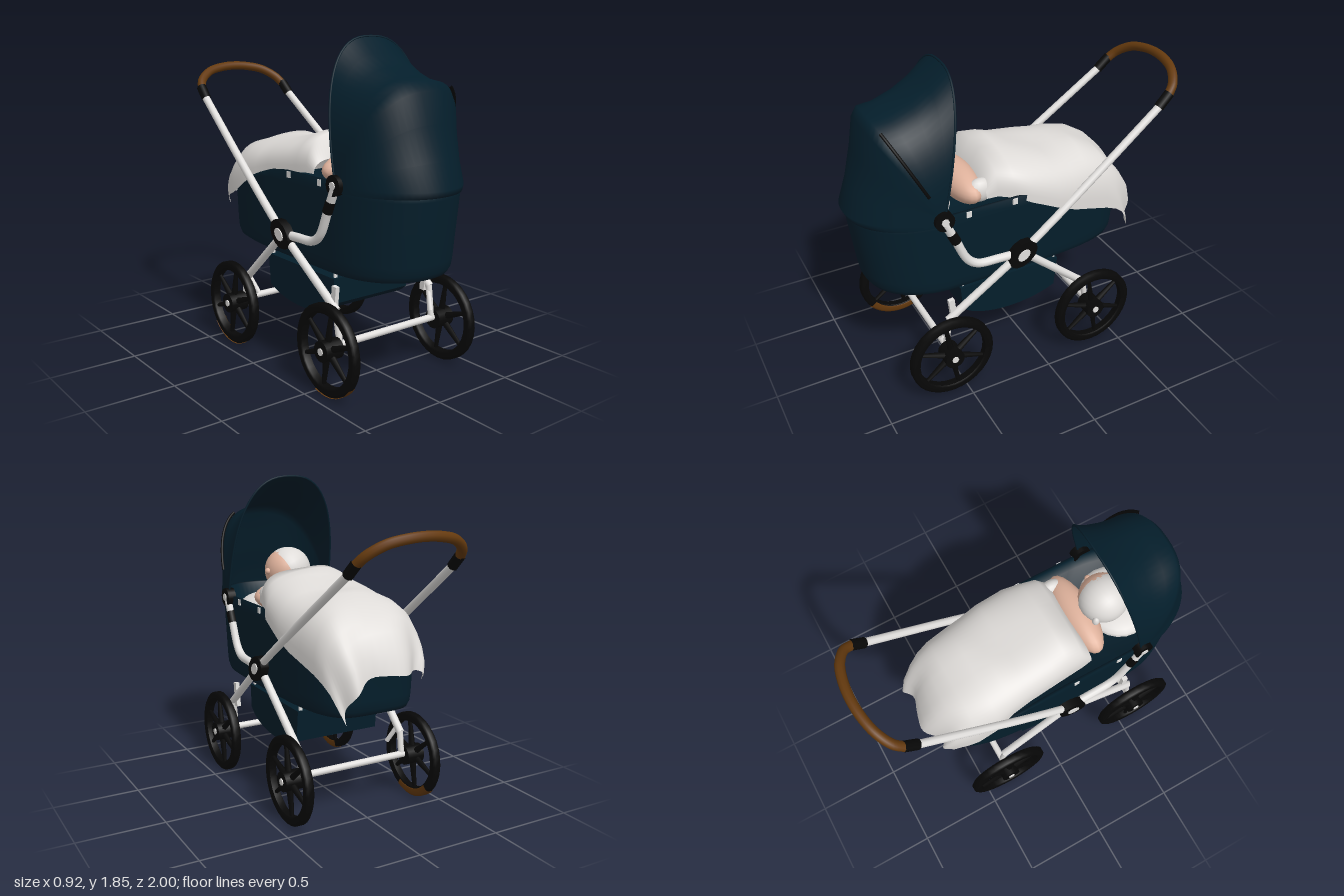
import * as THREE from 'three';

const mat = (name, color, side = THREE.FrontSide) => {
  const m = new THREE.MeshStandardMaterial({ color, side });
  m.name = name;
  return m;
};
const V = (x, y, z) => new THREE.Vector3(x, y, z);

// skin a surface over rows of points
function loft(rows, closed = false) {
  const n = rows[0].length, pos = [], idx = [];
  rows.forEach(r => r.forEach(p => pos.push(p.x, p.y, p.z)));
  for (let i = 0; i < rows.length - 1; i++)
    for (let j = 0; j < (closed ? n : n - 1); j++) {
      const a = i * n + j, b = i * n + (j + 1) % n;
      idx.push(a, a + n, b, b, a + n, b + n);
    }
  const g = new THREE.BufferGeometry();
  g.setAttribute('position', new THREE.Float32BufferAttribute(pos, 3));
  g.setIndex(idx);
  g.computeVertexNormals();
  return g;
}
const pw = (v, e) => Math.sign(v) * Math.pow(Math.abs(v), e);

export function createModel() {
  const root = new THREE.Group();
  root.name = 'pram';
  const navy = mat('navy fabric', 0x041e2b, THREE.DoubleSide);
  const black = mat('black rubber', 0x070707);
  const white = mat('white metal', 0xe2e0de);
  const cloth = mat('white cloth', 0xdedbd8, THREE.DoubleSide);
  const skin = mat('skin', 0xdfb29c);
  const brown = mat('brown leather', 0x653a0e, THREE.DoubleSide);

  const add = (name, geo, m, x = 0, y = 0, z = 0, parent = root) => {
    const o = new THREE.Mesh(geo, m);
    o.name = name;
    o.position.set(x, y, z);
    parent.add(o);
    return o;
  };
  const tube = (name, pts, r, m, seg = 24) =>
    add(name, new THREE.TubeGeometry(new THREE.CatmullRomCurve3(pts, false, 'centripetal'), seg, r, 10), m);
  // disc whose axis runs along x
  const disc = (name, r, w, m, x, y, z, parent = root, sides = 20) =>
    add(name, new THREE.CylinderGeometry(r, r, w, sides).rotateZ(Math.PI / 2), m, x, y, z, parent);

  // carrycot body: rings with a round head end and a squarer foot, and a rim that dips towards the foot
  const rimY = z => 1.125 - 0.17 * THREE.MathUtils.smoothstep(-z, -0.1, 0.6);
  const ring = (y, s, rim = false) => {
    const t = (y - 0.63) / 0.49, pts = [];
    const f = 0.92 + 0.06 * t, b = -0.61 - 0.025 * t, w = 0.33 + 0.01 * t, mid = 0.5;
    for (let j = 0; j < 64; j++) {
      const a = j / 64 * Math.PI * 2, c = Math.cos(a), e = c > 0 ? 0.9 : 0.45;
      const z = mid + (c > 0 ? f - mid : mid - b) * pw(c, e) * s + (1 - s) * -0.34;
      pts.push(V(w * s * pw(Math.sin(a), e), rim ? rimY(z) : Math.min(y, rimY(z) - 0.02), z));
    }
    return pts;
  };
  add('carrycot', loft([ring(0.63, 0.001), ring(0.63, 0.94), ring(0.64, 0.975), ring(0.67, 0.995), ring(0.72, 1),
    ring(0.9, 1), ring(1.06, 1), ring(1.12, 1, true), ring(1.12, 0.95, true), ring(1.0, 0.94), ring(0.98, 0.001)], true), navy);

  // hood: arches fanned around the two side pivots, rounder towards the bottom [z, y, roundness]
  const arch = ([z, y, e], s0 = 0, s1 = Math.PI, n = 32, grow = 0) => {
    const by = Math.min(1.12, y), pts = [];
    for (let j = 0; j <= n; j++) {
      const a = s0 + (s1 - s0) * j / n, h = pw(Math.sin(a), e);
      pts.push(V((0.347 + grow) * pw(Math.cos(a), e), by + (y - by) * h, 0.56 + (z - 0.56) * h));
    }
    return pts;
  };
  const ribs = [[0.41, 1.845, 0.77], [0.51, 1.76, 0.77], [0.62, 1.695, 0.77], [0.74, 1.65, 0.77], [0.83, 1.64, 0.77],
    [0.865, 1.59, 0.8], [0.9, 1.43, 0.88], [0.95, 1.25, 0.95], [1, 1.115, 0.98], [0.985, 1.08, 0.96], [0.965, 1.08, 0.96]];
  add('hood', loft(ribs.map(r => arch(r))), navy);
  tube('hoodEdge', arch(ribs[0]), 0.006, navy, 48);
  tube('hoodZip', arch([0.836, 1.65, 0.77], 0.2, 1.1, 12, 0.004), 0.009, black);

  // blanket: arched sections draped over the foot of the cot, tucked in on the right
  // [z, top, left hem, left half width, right hem, right half width]
  const folds = [[0.28, 1.2, 1.12, 0.27, 1.12, 0.27], [0.22, 1.325, 1.13, 0.29, 1.12, 0.28],
    [0.13, 1.32, 1.11, 0.32, 1.11, 0.285], [0.04, 1.3, 1.07, 0.35, 1.1, 0.29], [-0.13, 1.26, 0.99, 0.36, 1.08, 0.3],
    [-0.24, 1.25, 0.94, 0.348, 1.05, 0.31], [-0.34, 1.25, 0.91, 0.338, 0.98, 0.33], [-0.47, 1.21, 0.87, 0.325, 0.9, 0.32],
    [-0.55, 1.15, 0.85, 0.315, 0.86, 0.305], [-0.61, 1.08, 0.82, 0.3, 0.83, 0.29], [-0.67, 0.98, 0.75, 0.275, 0.77, 0.27],
    [-0.7, 0.87, 0.7, 0.25, 0.72, 0.25]];
  add('blanket', loft(folds.map(([z, top, hemL, wL, hemR, wR], i) => {
    const pts = [], back = Math.max(0, i - 7) / 4;
    for (let j = 0; j <= 32; j++) {
      const a = j / 32 * Math.PI, c = Math.cos(a), s = Math.sin(a);
      const x = (c > 0 ? wL : wR) * pw(c, 0.72), hem = THREE.MathUtils.lerp(hemR, hemL, (c + 1) / 2);
      const y = hem + (top - hem) * pw(s, 0.72) + s * 0.009 * Math.sin(11 * x + 17 * z)
        + back * (c > 0 ? -0.06 : 0.07) * c * c;
      pts.push(V(x, y, z + back * (0.025 * Math.sin(j * 0.6) + (c > 0 ? 0.02 : 0.07) * c * c)));
    }
    return pts;
  })), cloth);

  // baby: head turned to its left, with cap, ear, shoulders and sleeve
  add('pillow', new THREE.SphereGeometry(1, 24, 12), cloth, 0, 1.05, 0.6).scale.set(0.23, 0.07, 0.2);
  add('head', new THREE.SphereGeometry(0.13, 24, 16), skin, -0.01, 1.265, 0.49).scale.set(1, 1.05, 1.05);
  const cap = add('cap', new THREE.SphereGeometry(0.137, 24, 12, 0, Math.PI * 2, 0, 1.8), cloth, -0.022, 1.27, 0.49);
  cap.rotation.z = 1.15;
  cap.scale.set(1, 1.05, 1.05);
  add('nose', new THREE.SphereGeometry(0.02, 10, 8), skin, 0.12, 1.27, 0.475);
  add('ear', new THREE.SphereGeometry(0.03, 12, 8), cloth, -0.12, 1.26, 0.385).scale.set(0.7, 1.2, 0.7);
  add('shoulders', new THREE.SphereGeometry(1, 24, 16), skin, 0.01, 1.14, 0.34).scale.set(0.265, 0.1, 0.1);
  add('sleeve', new THREE.SphereGeometry(1, 16, 10), cloth, 0.21, 1.15, 0.29).scale.set(0.05, 0.07, 0.08);

  // shopping basket slung beneath
  const side = new THREE.Shape();
  side.moveTo(-0.45, 0.575);
  side.lineTo(-0.44, 0.43);
  side.bezierCurveTo(-0.35, 0.33, -0.05, 0.295, 0.16, 0.39);
  side.lineTo(0.18, 0.575);
  const basket = new THREE.ExtrudeGeometry(side, { depth: 0.53, bevelEnabled: false, curveSegments: 12 });
  add('shoppingBasket', basket.rotateY(Math.PI / 2).translate(-0.265, 0, 0), navy);

  // handlebar
  tube('handleGrip', [V(-0.308, 1.49, -0.845), V(-0.28, 1.54, -0.895), V(-0.2, 1.592, -0.942), V(-0.1, 1.615, -0.966),
    V(0, 1.622, -0.973), V(0.1, 1.615, -0.966), V(0.2, 1.592, -0.942), V(0.28, 1.54, -0.895), V(0.308, 1.49, -0.845)],
  0.027, brown, 48);

  // frame, repeated on both sides
  for (const s of [1, -1]) {
    const P = (x, y, z) => V(s * x, y, z);
    tube('pushRod', [P(0.31, 1.465, -0.825), P(0.354, 1.006, -0.2), P(0.367, 0.775, 0.115)], 0.023, white);
    tube('handleCuff', [P(0.306, 1.505, -0.858), P(0.312, 1.435, -0.785)], 0.03, black);
    tube('frontLeg', [P(0.365, 0.775, 0.115), P(0.335, 0.445, 0.565)], 0.023, white);
    tube('frontStub', [P(0.335, 0.455, 0.555), P(0.33, 0.265, 0.585)], 0.018, white);
    tube('rearLeg', [P(0.355, 0.775, 0.115), P(0.335, 0.39, -0.328)], 0.023, white);
    tube('rearStub', [P(0.335, 0.4, -0.32), P(0.33, 0.265, -0.346)], 0.018, white);
    tube('cotArm', [P(0.355, 0.77, 0.16), P(0.355, 0.775, 0.25), P(0.352, 0.785, 0.38), P(0.35, 0.83, 0.44),
      P(0.35, 0.98, 0.51), P(0.35, 1.1, 0.565)], 0.025, white, 32);
    tube('armCuff', [P(0.35, 0.965, 0.503), P(0.35, 1.03, 0.533)], 0.029, black);
    disc('hoodPivot', 0.055, 0.05, black, s * 0.345, 1.115, 0.568);
    disc('pivotCap', 0.022, 0.008, white, s * 0.372, 1.115, 0.568, root, 8);
    // folding joint
    const joint = new THREE.Group();
    joint.name = 'foldingJoint';
    joint.position.set(s * 0.365, 0.77, 0.115);
    joint.rotation.x = 0.633;
    joint.scale.z = 1.4;
    root.add(joint);
    disc('jointBody', 0.068, 0.05, black, 0, 0, 0, joint, 12);
    disc('jointCap', 0.03, 0.008, white, s * 0.027, 0, 0, joint, 12);
    // rim buttons, basket straps, spring brackets
    for (const z of [0.42, 0.145])
      add('rimButton', new THREE.BoxGeometry(0.008, 0.035, 0.03), white, s * 0.341, 1.105, z);
    for (const z of [0.43, -0.165])
      add('basketStrap', new THREE.BoxGeometry(0.02, 0.09, 0.012), white, s * 0.24, 0.605, z);
    add('springBracket', new THREE.BoxGeometry(0.025, 0.15, 0.035), white, s * 0.322, 0.495, 0.53).rotation.x = 0.1;
    for (const [y, z] of [[0.44, 0.55], [0.43, -0.3]])
      tube('springArm', [P(0.335, y, z), P(0.3, 0.32, z + 0.06)], 0.014, white, 4);
  }

  // wheels and axles
  const profile = pts => pts.map(p => new THREE.Vector2(...p));
  const tyre = new THREE.LatheGeometry(profile([[0.2, -0.02], [0.21, -0.026], [0.237, -0.026], [0.25, -0.016],
    [0.25, 0.016], [0.237, 0.026], [0.21, 0.026], [0.2, 0.02], [0.2, -0.02]]), 32).rotateZ(Math.PI / 2);
  const spoke = new THREE.CylinderGeometry(0.011, 0.02, 0.17, 6).translate(0, 0.125, 0);
  // worn strip over the tread and inner wall, starting level and sweeping upwards
  const patch = new THREE.LatheGeometry(profile([[0.205, -0.025], [0.21, -0.028], [0.238, -0.028], [0.2525, -0.017],
    [0.2525, 0.02]]), 10, 0, 1.25).rotateZ(Math.PI / 2);
  for (const z of [0.583, -0.346]) {
    tube('axle', [V(-0.37, 0.265, z), V(0.37, 0.265, z)], 0.02, white);
    for (const s of [1, -1]) {
      const wheel = new THREE.Group();
      wheel.name = 'wheel';
      wheel.position.set(s * 0.41, 0.254, z);
      root.add(wheel);
      add('tyre', tyre, black, 0, 0, 0, wheel);
      for (let i = 0; i < 6; i++) add('spoke', spoke, black, 0, 0, 0, wheel).rotation.x = i * Math.PI / 3 + 0.15;
      disc('wheelHub', 0.057, 0.11, black, s * -0.01, 0, 0, wheel);
      disc('hubCap', 0.02, 0.008, white, s * 0.047, 0, 0, wheel, 8);
      if (s < 0) add('tyrePatch', patch, brown, 0, 0, 0, wheel).rotation.x = z > 0 ? 1.9 : 2.4;
    }
  }
  return root;
}
